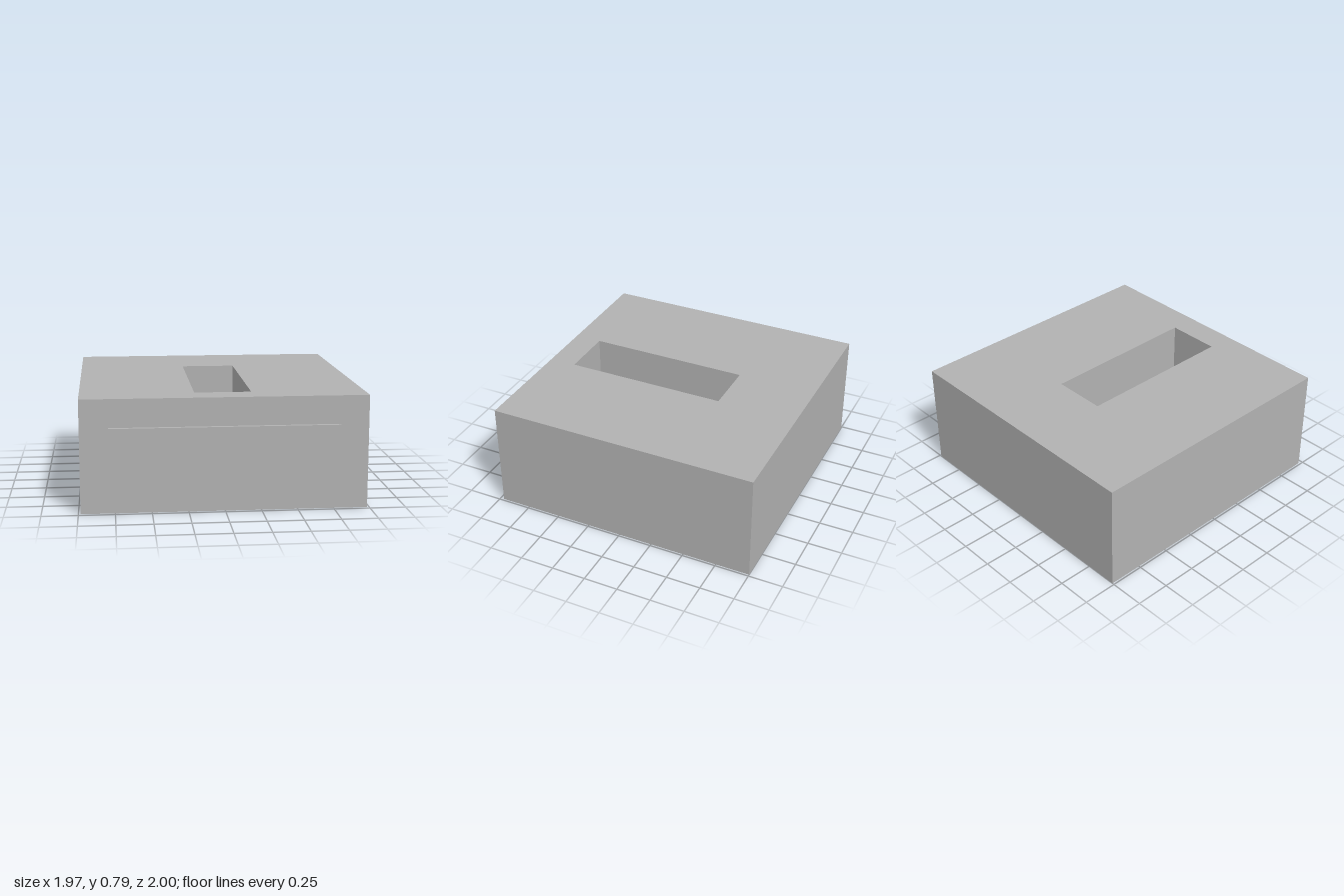
import * as THREE from 'three';

const W = 0.985;                 // half width of the body
const BACK = -1, FRONT = 0.97;   // body depth range
const HEIGHT = 0.788;
const SLOT = { half: 0.197, back: -0.41, front: 0.773, floor: 0.197 };

// Box given by its lower and upper corners
function boxBetween(name, min, max, material) {
  const size = max.map((v, i) => v - min[i]);
  const mesh = new THREE.Mesh(new THREE.BoxGeometry(...size), material);
  mesh.position.set(...max.map((v, i) => (v + min[i]) / 2));
  mesh.name = name;
  return mesh;
}

// Rectangle in plan; shape y is -z so that the extrusion can be stood upright
function planRect(path, halfWidth, back, front) {
  path.moveTo(-halfWidth, -front);
  path.lineTo(halfWidth, -front);
  path.lineTo(halfWidth, -back);
  path.lineTo(-halfWidth, -back);
  path.closePath();
  return path;
}

export function createModel() {
  const group = new THREE.Group();
  group.name = 'slottedBox';
  const grey = new THREE.MeshStandardMaterial({ color: 0xb2b2b2 });
  grey.name = 'plain grey';

  // Body with the rectangular slot in its top
  const plan = planRect(new THREE.Shape(), W, BACK, FRONT);
  plan.holes.push(planRect(new THREE.Path(), SLOT.half, SLOT.back, SLOT.front));
  const bodyGeometry = new THREE.ExtrudeGeometry(plan, { depth: HEIGHT, bevelEnabled: false });
  bodyGeometry.rotateX(-Math.PI / 2);
  const body = new THREE.Mesh(bodyGeometry, grey);
  body.name = 'body';
  group.add(body);

  // Floor closing the slot
  group.add(boxBetween('slotFloor', [-SLOT.half, 0, SLOT.back], [SLOT.half, SLOT.floor, SLOT.front], grey));

  // Raised front panel, set through the front wall
  group.add(boxBetween('frontPanel', [-0.788, 0.197, SLOT.front], [0.788, 0.591, 1], grey));

  return group;
}
